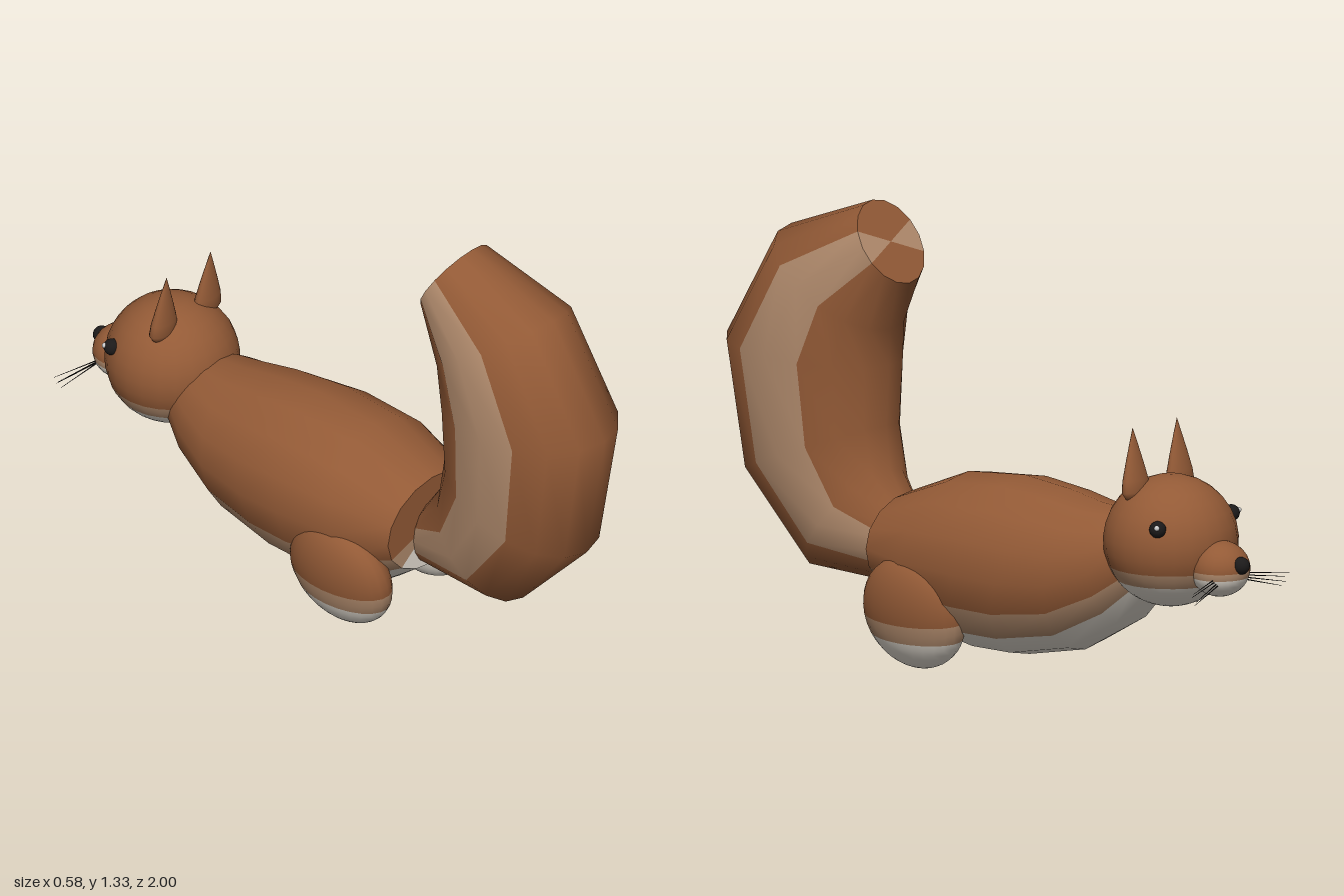
import * as THREE from 'three';

const mat = (color) => new THREE.MeshStandardMaterial({ color });
const fur = mat(0x935a36), blend = mat(0xb08a6c), cream = mat(0xe6dfd4), black = mat(0x1c1a1a), white = mat(0xffffff);
const tones = [fur, blend, cream];
const SIDES = 16;

// Lofts elliptical rings [z1, y1, z2, y2, halfWidth], each spanning two points of the
// side outline. toneAt(angle) picks the colour of each lengthwise strip.
function loft(name, rings, toneAt) {
  const pos = [], faces = [[], [], []];
  const ringPoint = ([z1, y1, z2, y2, w], j) => {
    const a = (j / SIDES) * Math.PI * 2, s = Math.sin(a);
    return [w * Math.cos(a), (y1 + y2) / 2 + s * (y1 - y2) / 2, (z1 + z2) / 2 + s * (z1 - z2) / 2];
  };
  const tone = (j) => faces[toneAt(Math.sin(((j + 0.5) / SIDES) * Math.PI * 2))];
  rings.forEach((r) => { for (let j = 0; j < SIDES; j++) pos.push(...ringPoint(r, j)); });
  for (let i = 0; i < rings.length - 1; i++) {
    for (let j = 0; j < SIDES; j++) {
      const k = (j + 1) % SIDES, a = i * SIDES, b = a + SIDES;
      tone(j).push(a + j, b + j, b + k, a + j, b + k, a + k);
    }
  }
  // Flat end caps with their own vertices, so the rims stay sharp
  [rings[0], rings[rings.length - 1]].forEach((r, end) => {
    const c = pos.length / 3;
    pos.push(0, (r[1] + r[3]) / 2, (r[0] + r[2]) / 2);
    for (let j = 0; j < SIDES; j++) pos.push(...ringPoint(r, j));
    for (let j = 0; j < SIDES; j++) {
      const p = c + 1 + j, q = c + 1 + ((j + 1) % SIDES);
      tone(j).push(c, end ? q : p, end ? p : q);
    }
  });
  const geo = new THREE.BufferGeometry();
  geo.setAttribute('position', new THREE.Float32BufferAttribute(pos, 3));
  geo.setIndex(faces.flat());
  let start = 0;
  faces.forEach((f, i) => { geo.addGroup(start, f.length, i); start += f.length; });
  geo.computeVertexNormals();
  const mesh = new THREE.Mesh(geo, tones);
  mesh.name = name;
  return mesh;
}

// Ellipsoid with brown top, blended band and cream underside
function furBall(name, size, from, to) {
  const group = new THREE.Group();
  group.name = name;
  const cuts = [0, from, to, Math.PI];
  tones.forEach((m, i) => {
    const geo = new THREE.SphereGeometry(1, 24, i === 1 ? 2 : 9, 0, Math.PI * 2, cuts[i], cuts[i + 1] - cuts[i]);
    const part = new THREE.Mesh(geo, m);
    part.name = name + ['Top', 'Band', 'Underside'][i];
    group.add(part);
  });
  group.scale.set(...size);
  return group;
}

function ball(name, radius, material, x, y, z) {
  const m = new THREE.Mesh(new THREE.SphereGeometry(radius, 16, 12), material);
  m.name = name;
  m.position.set(x, y, z);
  return m;
}

// Thin tapered rod between two points
function whisker(from, to) {
  const d = to.clone().sub(from);
  const m = new THREE.Mesh(new THREE.CylinderGeometry(0.0006, 0.002, d.length(), 5), black);
  m.name = 'whisker';
  m.position.copy(from).addScaledVector(d, 0.5);
  m.quaternion.setFromUnitVectors(new THREE.Vector3(0, 1, 0), d.normalize());
  return m;
}

export function createModel() {
  const model = new THREE.Group();
  model.name = 'squirrel';

  // Body: back point then belly point of each ring, rump to neck
  model.add(loft('body', [
    [0.325, 0.48, 0.33, 0.19, 0.2],
    [0.1, 0.57, 0.2, 0.09, 0.258],
    [-0.12, 0.59, 0.0, 0.055, 0.263],
    [-0.3, 0.573, -0.14, 0.055, 0.247],
    [-0.42, 0.552, -0.36, 0.1, 0.218],
    [-0.5, 0.545, -0.54, 0.2, 0.175],
    [-0.56, 0.53, -0.64, 0.3, 0.13],
  ], (s) => (s > -0.38 ? 0 : s > -0.7 ? 1 : 2)));

  // Tail: outer point then inner point of each ring, with a pale stripe on both sides
  model.add(loft('tail', [
    [0.33, 0.195, 0.33, 0.41, 0.09],
    [0.68, 0.21, 0.41, 0.53, 0.17],
    [0.93, 0.47, 0.425, 0.66, 0.2],
    [1.0, 0.88, 0.415, 0.84, 0.222],
    [0.8, 1.215, 0.41, 0.95, 0.2],
    [0.48, 1.33, 0.335, 1.1, 0.125],
  ], (s) => (Math.abs(s) < 0.3 ? 1 : 0)));

  // Head, muzzle and nose
  const head = furBall('head', [0.2, 0.196, 0.2], 1.95, 2.2);
  head.position.set(0, 0.477, -0.697);
  const muzzle = furBall('muzzle', [0.09, 0.083, 0.09], 1.6, 1.85);
  muzzle.position.set(0, 0.418, -0.89);
  model.add(head, muzzle, ball('nose', 0.026, black, 0, 0.437, -0.974));

  const earProfile = [[0, 0], [0.04, 0.004], [0.055, 0.025], [0.05, 0.06], [0.035, 0.11], [0.017, 0.165], [0, 0.215]];
  const earGeo = new THREE.LatheGeometry(earProfile.map((p) => new THREE.Vector2(...p)), 20);

  for (const s of [1, -1]) {
    const side = s > 0 ? 'left' : 'right';

    // Hind leg, leaning outward at the top
    const leg = furBall(side + 'HindLeg', [0.09, 0.172, 0.185], 1.65, 2.0);
    leg.position.set(s * 0.195, 0.172, 0.14);
    leg.rotation.z = -s * 0.17;
    model.add(leg);

    // Ear
    const ear = new THREE.Mesh(earGeo, fur);
    ear.name = side + 'Ear';
    ear.scale.z = 0.5;
    ear.position.set(s * 0.097, 0.605, -0.648);
    ear.rotation.x = 0.07;
    model.add(ear);

    // Eye with highlight
    model.add(ball(side + 'Eye', 0.025, black, s * 0.162, 0.545, -0.79));
    model.add(ball(side + 'EyeHighlight', 0.008, white, s * 0.18, 0.553, -0.803));

    // Whiskers
    for (let i = 0; i < 4; i++) {
      model.add(whisker(
        new THREE.Vector3(s * 0.06, 0.4 - i * 0.006, -0.925 - i * 0.004),
        new THREE.Vector3(s * (0.21 - i * 0.006), 0.385 - i * 0.013, -0.975 + (i % 2) * 0.012),
      ));
    }
  }
  return model;
}
